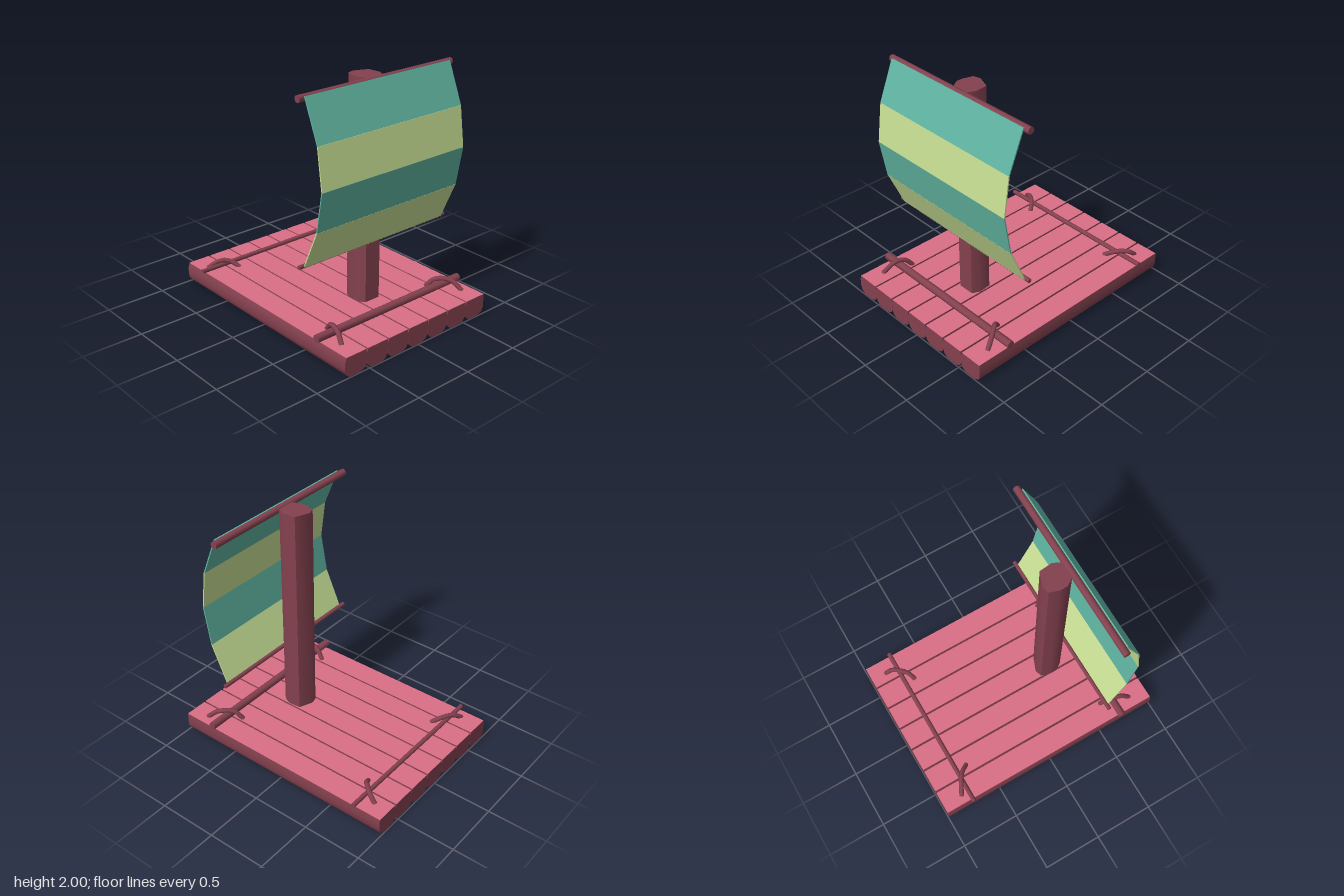
import * as THREE from 'three';
import { toCreasedNormals } from 'three/addons/utils/BufferGeometryUtils.js';

const mat = (color) => new THREE.MeshStandardMaterial({ color });

export function createModel() {
  const model = new THREE.Group();
  const wood = mat(0x84414f), deck = mat(0xdb6f86), teal = mat(0x5fb3a0), lime = mat(0xc6de93);

  const add = (name, geometry, material, x = 0, y = 0, z = 0) => {
    const mesh = new THREE.Mesh(geometry, material);
    mesh.name = name;
    mesh.position.set(x, y, z);
    model.add(mesh);
    return mesh;
  };
  const prism = (points, depth) => new THREE.ExtrudeGeometry(
    new THREE.Shape(points.map(([x, y]) => new THREE.Vector2(x, y))),
    { depth, bevelEnabled: false });

  // Seven logs, rounded below and sawn flat on top
  const logGeometry = toCreasedNormals(prism([
    [-0.092, 0.168], [-0.105, 0.13], [-0.105, 0.065], [-0.093, 0.028], [-0.058, 0],
    [0.04, 0], [0.085, 0.02], [0.103, 0.055], [0.105, 0.12], [0.101, 0.168],
  ], 1.99), 0.9);
  const plankGeometry = new THREE.BoxGeometry(0.193, 0.004, 1.99);
  for (let i = 0; i < 7; i++) {
    const x = (i - 3) * 0.21;
    add('log', logGeometry, wood, x, 0, -0.995);
    add('deckPlank', plankGeometry, deck, x + 0.0045, 0.17, 0);
  }

  // Mast with an uneven eight-sided section (x, -z)
  const mastGeometry = prism([
    [-0.025, -0.268], [0.09, -0.315], [0.1, -0.42], [0.07, -0.485],
    [-0.07, -0.485], [-0.11, -0.425], [-0.11, -0.365], [-0.085, -0.285],
  ], 1.82);
  mastGeometry.rotateX(-Math.PI / 2);
  add('mast', toCreasedNormals(mastGeometry, 0.9), wood, 0, 0.165, 0);

  // Horizontal poles: two carry the sail, two tie the logs together
  const pole = (name, radius, y, z) => {
    const geometry = new THREE.CylinderGeometry(radius, radius, 1.5, 8);
    geometry.rotateZ(Math.PI / 2);
    add(name, toCreasedNormals(geometry, 0.9), wood, 0, y, z);
  };
  pole('upperYard', 0.029, 1.971, 0.512);
  pole('lowerYard', 0.017, 0.705, 0.507);
  pole('frontCrossbar', 0.032, 0.202, 0.695);
  pole('backCrossbar', 0.019, 0.188, -0.757);

  // Billowing sail in four straight bands, profile points are (z, y)
  const profile = [[0.541, 1.99], [0.674, 1.665], [0.718, 1.34], [0.66, 1.018], [0.513, 0.692]];
  for (let i = 0; i < 4; i++) {
    const [z0, y0] = profile[i], [z1, y1] = profile[i + 1];
    const band = add('sailBand', new THREE.BoxGeometry(1.42, Math.hypot(z1 - z0, y1 - y0), 0.01),
      i % 2 ? lime : teal, 0, (y0 + y1) / 2, (z0 + z1) / 2);
    band.rotation.x = Math.atan2(z0 - z1, y0 - y1);
  }

  // Ropes arching over the crossbars
  const ropes = {
    frontLeftRope: [[0.65, 0.165, 0.84], [0.615, 0.235, 0.765], [0.57, 0.25, 0.70], [0.525, 0.237, 0.65], [0.49, 0.165, 0.59]],
    frontRightRope: [[-0.63, 0.165, 0.84], [-0.602, 0.235, 0.765], [-0.588, 0.25, 0.70], [-0.573, 0.237, 0.65], [-0.555, 0.165, 0.59]],
    backLeftRope: [[0.615, 0.165, -0.865], [0.6, 0.21, -0.81], [0.545, 0.224, -0.74], [0.505, 0.21, -0.7], [0.44, 0.165, -0.67]],
    backRightRope: [[-0.655, 0.165, -0.825], [-0.59, 0.21, -0.79], [-0.53, 0.224, -0.757], [-0.485, 0.21, -0.72], [-0.44, 0.165, -0.66]],
  };
  for (const [name, points] of Object.entries(ropes)) {
    const curve = new THREE.CatmullRomCurve3(points.map((p) => new THREE.Vector3(...p)));
    add(name, new THREE.TubeGeometry(curve, 10, 0.02, 7), wood);
  }

  return model;
}
